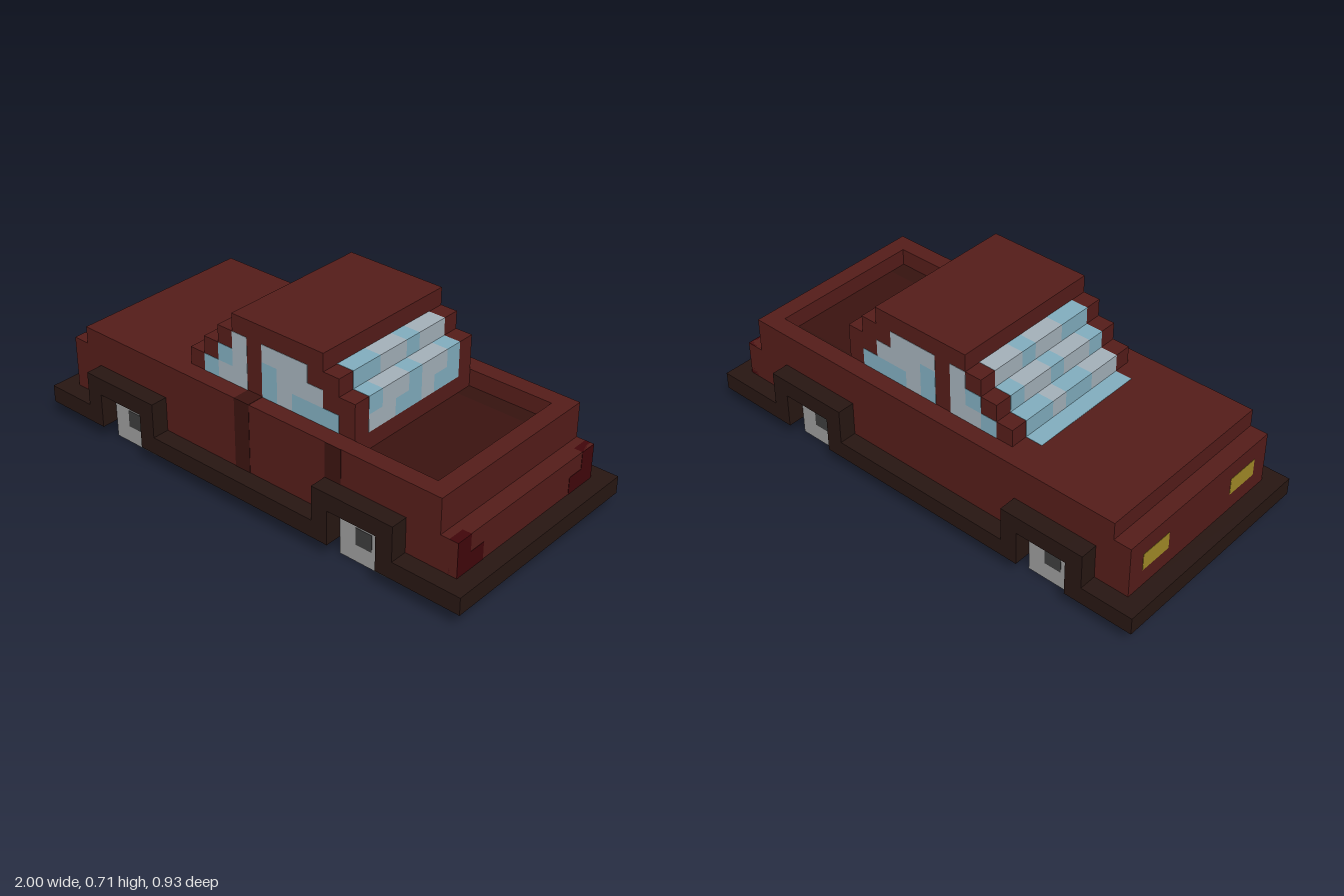
import * as THREE from 'three';

const U = 1 / 14; // one block

const COLORS = {
  body: 0x541c19, seam: 0x3a1310, trim: 0x271612, lining: 0x35130f, under: 0x3a0d10,
  wheel: 0x999999, hub: 0x3c3c3c, glassBlue: 0x80acbd, glassGrey: 0xa2afb8,
  tail: 0x40060a, head: 0xa08826,
};
const mats = {};
for (const key in COLORS) mats[key] = new THREE.MeshStandardMaterial({ color: COLORS[key], flatShading: true });

export function createModel() {
  const car = new THREE.Group();
  car.name = 'pickup';

  // Box given by its limits in blocks
  function block(name, mat, x0, x1, y0, y1, z0, z1, parent = car) {
    const mesh = new THREE.Mesh(new THREE.BoxGeometry((x1 - x0) * U, (y1 - y0) * U, (z1 - z0) * U), mats[mat]);
    mesh.position.set((x0 + x1) / 2 * U, (y0 + y1) / 2 * U, (z0 + z1) / 2 * U);
    mesh.name = name;
    parent.add(mesh);
  }
  // Same box on both sides of the car
  function pair(name, mat, x0, x1, y0, y1, z0, z1, parent = car) {
    block(name, mat, x0, x1, y0, y1, z0, z1, parent);
    block(name, mat, x0, x1, y0, y1, -z1, -z0, parent);
  }
  const group = (name) => {
    const g = new THREE.Group();
    g.name = name;
    car.add(g);
    return g;
  };
  const glass = (c) => (c === 'b' ? 'glassBlue' : 'glassGrey');
  const e = 0.02; // small lift for surface panels

  // Lower body
  const body = group('body');
  block('chassis', 'under', -13, 13, 1, 2, -5.5, 5.5, body);
  block('noseStep', 'body', -13, -12, 2, 5, -5.5, 5.5, body);
  block('hoodAndDoors', 'body', -12, 6, 2, 6, -5.5, 5.5, body);
  block('bedBase', 'body', 6, 12, 2, 5, -5.5, 5.5, body);
  pair('bedSide', 'body', 6, 12, 5, 6, 4.5, 5.5, body);
  block('tailgate', 'body', 11, 12, 5, 6, -4.5, 4.5, body);
  block('tailStep', 'body', 12, 13, 2, 4, -5.5, 5.5, body);

  // Shallow bed, darker along its sides
  block('bedFloor', 'seam', 6, 11, 5, 5 + e, -3.5, 3.5);
  pair('bedFloorEdge', 'lining', 6, 11, 5, 5 + e, 3.5, 4.5);

  // Door seams on the left side
  block('doorSeam', 'seam', -1, 0, 2, 6 + e, 4.5, 5.5 + e);
  block('rearSeam', 'seam', 5, 6, 4, 6, 5, 5.5 + e);

  // Stepped cabin
  const cabin = group('cabin');
  const rows = [
    { y: 6, x0: -5, x1: 6, pane: 'ggbbgbb' },
    { y: 7, x0: -4, x1: 6, pane: 'bggbggb' },
    { y: 8, x0: -3, x1: 5, pane: 'bbggbgg' },
  ];
  for (const r of rows) block('cabinRow', 'body', r.x0, r.x1, r.y, r.y + 1, -4.5, 4.5, cabin);
  block('roof', 'body', -2, 4, 9, 10, -4.5, 4.5, cabin);

  // Windscreen and rear window follow the steps
  for (const r of rows) {
    [...r.pane].forEach((c, i) => {
      const z = 3.5 - i;
      block('windscreen', glass(c), r.x0 - e, r.x0 + 1, r.y, r.y + 1 + e, z - 1, z, cabin);
      block('rearWindow', glass(c), r.x1 - 1, r.x1 + e, r.y, r.y + 1 + (r.y === 6 ? 0 : e), z - 1, z, cabin);
    });
  }
  block('windscreenBase', 'glassBlue', -6, -5, 5, 6 + e, -3.5, 3.5, cabin);

  // Side windows: start x, row, panes
  const sideWindows = [
    [-4, 6, 'bgg'], [-3, 7, 'bg'], [-2, 8, 'g'],
    [0, 6, 'bgbbb'], [0, 7, 'bggg'], [0, 8, 'ggg'],
  ];
  for (const [x, y, panes] of sideWindows) {
    [...panes].forEach((c, i) => pair('sideWindow', glass(c), x + i, x + i + 1, y, y + 1, 4, 4.5 + e, cabin));
  }

  // Bumper and sill frame, open at the wheels
  const frame = group('frame');
  for (const [a, b] of [[-14, -10], [-7, 6], [9, 14]]) pair('sill', 'trim', a, b, 1, 2, 5.5, 6.5, frame);
  block('frontBumper', 'trim', -14, -13, 1, 2, -5.5, 5.5, frame);
  block('rearBumper', 'trim', 13, 14, 1, 2, -5.5, 5.5, frame);

  // Arches, wheels and axles
  for (const x of [-10, 6]) {
    pair('archPost', 'trim', x - 1, x, 2, 4, 5.5, 6.5, frame);
    pair('archPost', 'trim', x + 3, x + 4, 2, 4, 5.5, 6.5, frame);
    pair('archTop', 'trim', x, x + 3, 3, 4, 5.5, 6.5, frame);
    const axle = group('axleAndWheels');
    block('wheel', 'wheel', x, x + 3, 0, 3, 4.5, 5.5 + e, axle);
    block('wheel', 'wheel', x, x + 3, 0, 3, -5.5 - e, -3.5, axle);
    pair('hub', 'hub', x + 1, x + 2, 1, 2, 5, 5.5 + 2 * e, axle);
    block('axleRail', 'wheel', x, x + 1, 1 - e, 2, -3.5, 4.5, axle);
    block('axleShaft', 'hub', x + 1, x + 2, 1 - e, 2, -3.5, 4.5, axle);
    block('axleRail', 'wheel', x + 2, x + 3, 1 - e, 2, -3.5, 4.5, axle);
  }

  // Lights
  pair('headlight', 'head', -13 - e, -12.5, 3, 4, 2.5, 4.5);
  pair('tailLight', 'tail', 12.5, 13 + e, 2, 4, 4.5, 5.5);
  pair('tailLightInner', 'tail', 12.5, 13 + e, 2, 3, 3.5, 4.5);

  return car;
}
